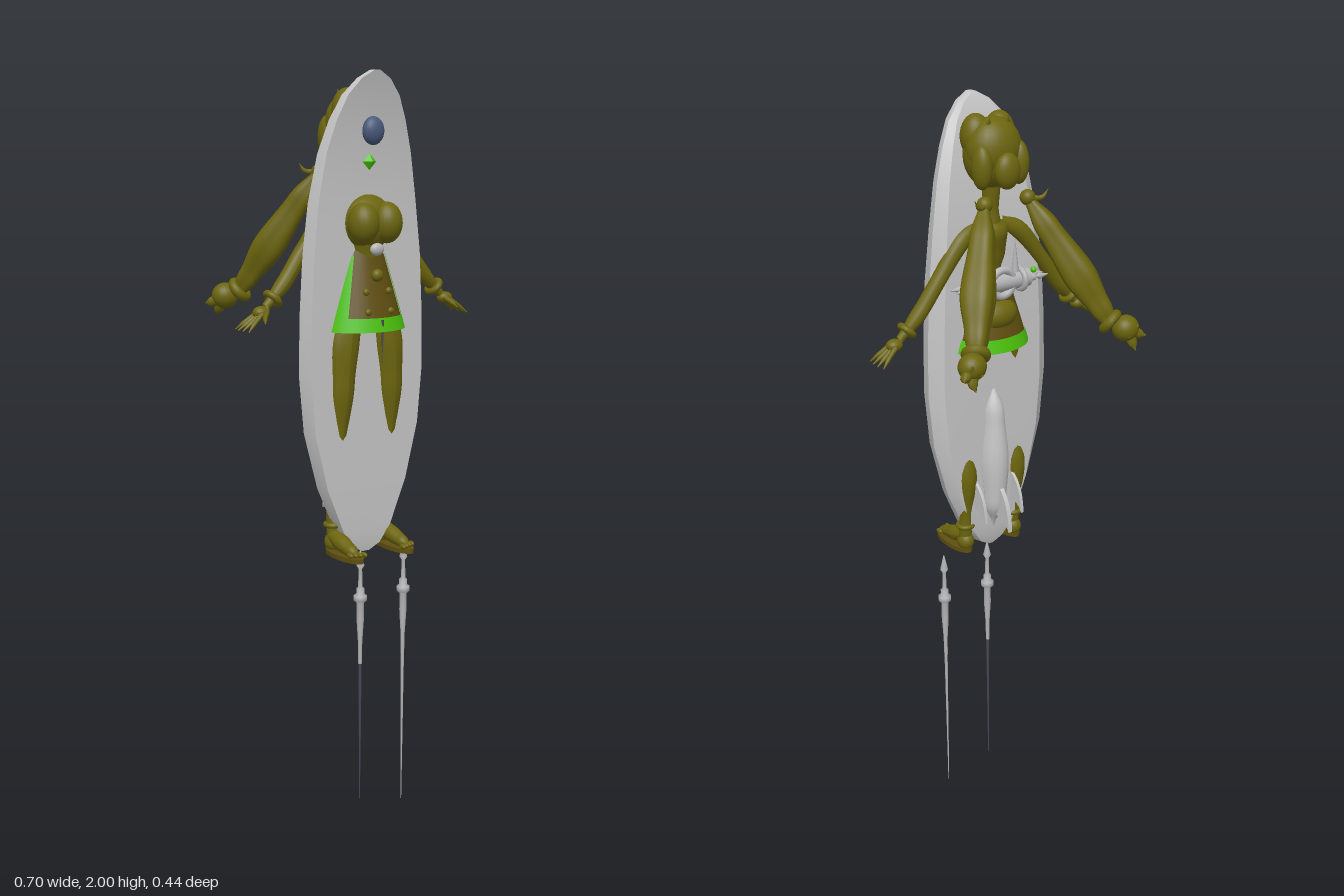
import * as THREE from 'three';
import { toCreasedNormals } from 'three/addons/utils/BufferGeometryUtils.js';

const makeMat = (name, color) => {
  const m = new THREE.MeshStandardMaterial({ color, side: THREE.DoubleSide });
  m.name = name;
  return m;
};

export function createModel() {
  const root = new THREE.Group();
  root.name = 'boardRider';
  const olive = makeMat('olive', 0x6c650e);
  const brown = makeMat('jacketBrown', 0x604f10);
  const grey = makeMat('boardGrey', 0xc6c6c6);
  const steel = makeMat('steel', 0xb4b4b6);
  const green = makeMat('green', 0x4cc20c);
  const blue = makeMat('slateBlue', 0x4a5a7c);
  const dark = makeMat('darkBlade', 0x484858);

  const add = (name, geo, mat, parent = root) => {
    const m = new THREE.Mesh(geo, mat);
    m.name = name;
    parent.add(m);
    return m;
  };
  const ball = (name, mat, p, s) => {
    const m = add(name, new THREE.SphereGeometry(1, 24, 16), mat);
    m.position.set(...p);
    m.scale.set(...s);
    return m;
  };
  // Tapered tube through points [x, y, z, radius], optionally ridged
  const limb = (name, mat, pts, ridge = 0, seg = 24, rad = 16) => {
    const curve = new THREE.CatmullRomCurve3(pts.map(p => new THREE.Vector3(p[0], p[1], p[2])));
    const geo = new THREE.TubeGeometry(curve, seg, 1, rad);
    const pos = geo.attributes.position, v = new THREE.Vector3();
    for (let i = 0; i <= seg; i++) {
      const c = curve.getPointAt(i / seg);
      const f = curve.getUtoTmapping(i / seg) * (pts.length - 1);
      const k = Math.min(Math.floor(f), pts.length - 2);
      const r = THREE.MathUtils.lerp(pts[k][3], pts[k + 1][3], THREE.MathUtils.smoothstep(f - k, 0, 1));
      for (let j = 0; j <= rad; j++) {
        const n = i * (rad + 1) + j;
        const q = r * (1 + ridge * Math.cos(j / rad * Math.PI * 8));
        v.fromBufferAttribute(pos, n).sub(c).multiplyScalar(q).add(c);
        pos.setXYZ(n, v.x, v.y, v.z);
      }
    }
    geo.computeVertexNormals();
    return add(name, geo, mat);
  };
  // Ring whose hole faces along a direction
  const ring = (name, mat, p, dir, r, t) => {
    const m = add(name, new THREE.TorusGeometry(r, t, 10, 24), mat);
    m.position.set(...p);
    m.quaternion.setFromUnitVectors(new THREE.Vector3(0, 0, 1), new THREE.Vector3(...dir).normalize());
    return m;
  };

  // Board: cross-sections [y, half width, front z, back z]
  const sections = [
    [0.768, 0.012, 0.125, 0.08], [0.785, 0.045, 0.128, 0.076], [0.83, 0.08, 0.13, 0.07],
    [0.95, 0.133, 0.13, 0.066], [1.1, 0.173, 0.13, 0.065], [1.25, 0.187, 0.13, 0.065],
    [1.4, 0.184, 0.13, 0.065], [1.55, 0.175, 0.13, 0.066], [1.68, 0.16, 0.128, 0.072],
    [1.8, 0.138, 0.133, 0.085], [1.88, 0.112, 0.142, 0.1], [1.94, 0.083, 0.152, 0.116],
    [1.98, 0.046, 0.161, 0.13], [2.0, 0.008, 0.166, 0.14]];
  const outline = [[-0.94, 1], [0, 1], [0.94, 1], [1, 0.4], [0.82, 0], [0, -0.05], [-0.82, 0], [-1, 0.4]];
  const verts = [], faces = [], N = outline.length;
  sections.forEach(([y, w, f, b], i) => {
    outline.forEach(([u, t], j) => {
      verts.push(u * w, y, b + (f - b) * t);
      if (i < sections.length - 1) {
        const a = i * N + j, c = i * N + (j + 1) % N;
        faces.push(a, c, a + N, c, c + N, a + N);
      }
    });
  });
  for (let j = 1; j < N - 1; j++) {
    const o = (sections.length - 1) * N;
    faces.push(0, j + 1, j, o, o + j, o + j + 1);
  }
  const board = new THREE.BufferGeometry();
  board.setAttribute('position', new THREE.Float32BufferAttribute(verts, 3));
  board.setIndex(faces);
  add('board', toCreasedNormals(board, 0.5), grey);

  // Keel pod and fins on the back of the board
  limb('keelPod', grey, [[0, 1.26, 0.07, 0.003], [0, 1.17, 0.062, 0.028], [0, 1.03, 0.062, 0.04],
    [0, 0.91, 0.062, 0.032], [0, 0.83, 0.07, 0.004]]);
  const finShape = new THREE.Shape();
  finShape.moveTo(-0.06, 0.98);
  finShape.quadraticCurveTo(0.01, 0.95, 0.014, 0.84);
  finShape.quadraticCurveTo(-0.01, 0.88, -0.06, 0.87);
  const finGeo = new THREE.ExtrudeGeometry(finShape, { depth: 0.012, bevelEnabled: false });
  finGeo.translate(0, 0, -0.006).rotateY(Math.PI / 2);
  add('centreFin', finGeo, grey);
  for (const s of [-1, 1]) {
    const fin = add('sideFin', finGeo, grey);
    fin.position.set(s * 0.06, 0.2, 0.025);
    fin.scale.set(0.7, 0.8, 0.8);
  }

  // Head, hair and face details
  ball('head', olive, [0, 1.86, 0.07], [0.074, 0.084, 0.066]);
  ball('hairCap', olive, [0, 1.875, 0.06], [0.075, 0.078, 0.06]);
  ball('hairBun', olive, [0, 1.83, 0.0], [0.035, 0.045, 0.025]);
  ball('forelock', blue, [0, 1.855, 0.148], [0.03, 0.035, 0.022]);
  const gem = add('gem', new THREE.OctahedronGeometry(0.021), green);
  gem.position.set(0, 1.78, 0.132);
  gem.scale.z = 0.7;
  limb('neck', olive, [[0, 1.79, 0.07, 0.024], [0, 1.73, 0.075, 0.022], [0, 1.66, 0.085, 0.035]]);

  // Torso and bust
  limb('torso', olive, [[0, 1.71, 0.085, 0.015], [0, 1.675, 0.09, 0.055], [0, 1.61, 0.105, 0.056],
    [0, 1.54, 0.105, 0.046], [0, 1.42, 0.1, 0.07]]);
  ball('chest', olive, [0, 1.63, 0.125], [0.072, 0.07, 0.05]);
  ball('buckle', steel, [0, 1.565, 0.167], [0.02, 0.016, 0.012]);

  // Flared jacket skirt with green hem and side panels
  const flare = (name, mat, y0, y1, grow, start = 0, len = Math.PI * 2) => {
    const r = y => 0.057 + (1.56 - y) * 0.3 + grow;
    const m = add(name, new THREE.CylinderGeometry(r(y1), r(y0), y1 - y0, 40, 1, true, start, len), mat);
    m.position.set(0, (y0 + y1) / 2, 0.1);
    m.scale.z = 0.82;
  };
  flare('skirt', brown, 1.38, 1.56, 0);
  flare('hem', green, 1.36, 1.395, 0.003);
  for (const a of [0.85, Math.PI * 2 - 1.55]) flare('sidePanel', green, 1.38, 1.55, 0.003, a, 0.7);
  [[0, 1.5, 0.168], [-0.035, 1.46, 0.17], [0.035, 1.46, 0.17], [-0.035, 1.41, 0.18], [0.035, 1.41, 0.18]]
    .forEach((p, i) => ball('button', olive, p, i ? [0.009, 0.009, 0.007] : [0.016, 0.016, 0.014]));
  const sash = add('sashTail', new THREE.ConeGeometry(0.004, 0.11, 6).rotateX(Math.PI), dark);
  sash.position.set(0, 1.335, 0.192);

  for (const s of [-1, 1]) {
    ball('bust', olive, [s * 0.036, 1.63, 0.158], [0.04, 0.052, 0.042]);
    ball('fringe', olive, [s * 0.035, 1.905, 0.085], [0.04, 0.055, 0.038]);
    ball('sideHair', olive, [s * 0.055, 1.84, 0.03], [0.025, 0.055, 0.03]);
    const ear = add('hairPoint', new THREE.ConeGeometry(0.018, 0.06, 12), olive);
    ear.position.set(s * 0.028, 1.93, 0.045);
    ear.rotation.x = -0.4;

    // Pigtail with tie, cuff and tuft
    ball('hairTie', olive, [s * 0.065, 1.755, 0.005], [0.02, 0.02, 0.02]);
    limb('pigtail', olive, [[s * 0.062, 1.76, 0.01, 0.012], [s * 0.1, 1.68, -0.035, 0.032],
      [s * 0.155, 1.565, -0.095, 0.044], [s * 0.19, 1.485, -0.14, 0.03], [s * 0.208, 1.445, -0.162, 0.02]], 0.08, 28, 40);
    ring('pigtailCuff', olive, [s * 0.207, 1.448, -0.16], [s * 0.45, -0.6, -0.6], 0.024, 0.013);
    ball('pigtailTuft', olive, [s * 0.236, 1.432, -0.187], [0.036, 0.034, 0.033]);
    for (let i = 0; i < 4; i++) {
      const a = i * 1.5;
      limb('tuftLock', olive, [[s * 0.236, 1.432, -0.187, 0.02],
        [s * (0.25 + 0.018 * Math.cos(a)), 1.415 + 0.02 * Math.sin(a), -0.205, 0.013],
        [s * (0.252 + 0.028 * Math.cos(a)), 1.412 + 0.034 * Math.sin(a), -0.218, 0.001]], 0, 8, 8);
    }
    limb('strayLock', olive, [[s * 0.065, 1.755, 0.0, 0.008], [s * 0.095, 1.755, -0.015, 0.006],
      [s * 0.11, 1.775, -0.02, 0.001]], 0, 8, 8);

    // Arm, bracelet and hand
    limb('arm', olive, [[s * 0.03, 1.685, 0.085, 0.02], [s * 0.085, 1.655, 0.078, 0.025],
      [s * 0.16, 1.565, 0.072, 0.02], [s * 0.22, 1.485, 0.075, 0.02], [s * 0.275, 1.43, 0.078, 0.011]]);
    ring('bracelet', olive, [s * 0.254, 1.45, 0.077], [s * 0.7, -0.7, 0], 0.019, 0.009);
    ball('palm', olive, [s * 0.29, 1.418, 0.08], [0.022, 0.016, 0.019]);
    for (let i = 0; i < 4; i++) {
      const d = (i - 1.5) * 0.011;
      limb('finger', olive, [[s * 0.295, 1.415, 0.08 + d * 0.8, 0.007],
        [s * 0.322, 1.395, 0.079 + d * 1.4, 0.006], [s * (0.35 - Math.abs(d) * 0.4), 1.377, 0.078 + d * 2, 0.002]], 0, 8, 8);
    }
    limb('thumb', olive, [[s * 0.28, 1.42, 0.09, 0.008], [s * 0.295, 1.405, 0.108, 0.006],
      [s * 0.302, 1.395, 0.12, 0.002]], 0, 8, 8);

    // Leg and foot
    limb('leg', olive, [[s * 0.045, 1.43, 0.1, 0.045], [s * 0.068, 1.33, 0.108, 0.047],
      [s * 0.076, 1.22, 0.115, 0.037], [s * 0.078, 1.11, 0.108, 0.027], [s * 0.08, 1.0, 0.085, 0.032],
      [s * 0.08, 0.88, 0.085, 0.018], [s * 0.08, 0.8, 0.09, 0.018]], 0, 36);
    ring('ankleStrap', olive, [s * 0.08, 0.845, 0.088], [0, 1, 0], 0.02, 0.007);
    ball('heel', olive, [s * 0.08, 0.797, 0.088], [0.023, 0.026, 0.026]);
    limb('foot', olive, [[s * 0.08, 0.815, 0.09, 0.02], [s * 0.081, 0.803, 0.13, 0.022],
      [s * 0.082, 0.792, 0.175, 0.017], [s * 0.082, 0.788, 0.2, 0.008]]);
    const sole = add('sole', new THREE.CylinderGeometry(1, 1, 0.012, 24), brown);
    sole.position.set(s * 0.081, 0.774, 0.142);
    sole.scale.set(0.03, 1, 0.077);
    for (let i = 0; i < 4; i++)
      ball('toe', olive, [s * (0.063 + i * 0.012), 0.787, 0.204 - i * 0.004], [0.006, 0.007, 0.012]);

    // Ends of the back device: paired spikes and a green lamp
    for (const z of [0.02, 0.043]) {
      const spike = add('deviceSpike', new THREE.LatheGeometry([[0.001, 0], [0.009, 0], [0.009, 0.018], [0.004, 0.021],
        [0.004, 0.03], [0.009, 0.033], [0.001, 0.062]].map(p => new THREE.Vector2(...p)), 14), steel);
      spike.position.set(s * 0.08, 1.54, z);
      spike.rotation.z = -s * Math.PI / 2;
    }
    ball('deviceLamp', green, [s * 0.105, 1.555, 0.032], [0.008, 0.008, 0.008]);
    ring('deviceRing', steel, [s * 0.06, 1.54, 0.03], [1, 0, 0], 0.026, 0.008);
  }

  // Body of the back device
  const core = add('deviceCore', new THREE.CylinderGeometry(0.024, 0.024, 0.17, 20), steel);
  core.rotation.z = Math.PI / 2;
  core.position.set(0, 1.54, 0.032);
  ring('deviceHub', steel, [0, 1.54, 0.022], [0, 0, 1], 0.034, 0.01);
  for (const x of [-0.045, 0.045]) {
    const prong = add('deviceProng', new THREE.ConeGeometry(0.011, 0.1, 12), steel);
    prong.position.set(x, 1.6, 0.03);
  }
  ball('hips', olive, [0, 1.45, 0.06], [0.065, 0.045, 0.05]);

  // Two slim spears hanging below
  const profile = [[0.001, 0.765], [0.011, 0.72], [0.005, 0.71], [0.006, 0.66], [0.011, 0.655], [0.011, 0.64],
    [0.018, 0.635], [0.018, 0.622], [0.01, 0.615], [0.01, 0.565], [0.006, 0.5], [0.005, 0.44]];
  [[0, 0.04, dark], [0.145, 0, steel]].forEach(([x, tip, bladeMat]) => {
    const spear = new THREE.Group();
    spear.name = 'spear';
    spear.position.set(x, 0, 0.1);
    root.add(spear);
    add('spearHandle', new THREE.LatheGeometry(profile.map(p => new THREE.Vector2(...p)).reverse(), 16), steel, spear);
    const blade = add('spearBlade', new THREE.CylinderGeometry(0.005, 0.0012, 0.48 - tip, 8), bladeMat, spear);
    blade.position.y = (0.48 + tip) / 2;
  });
  return root;
}
